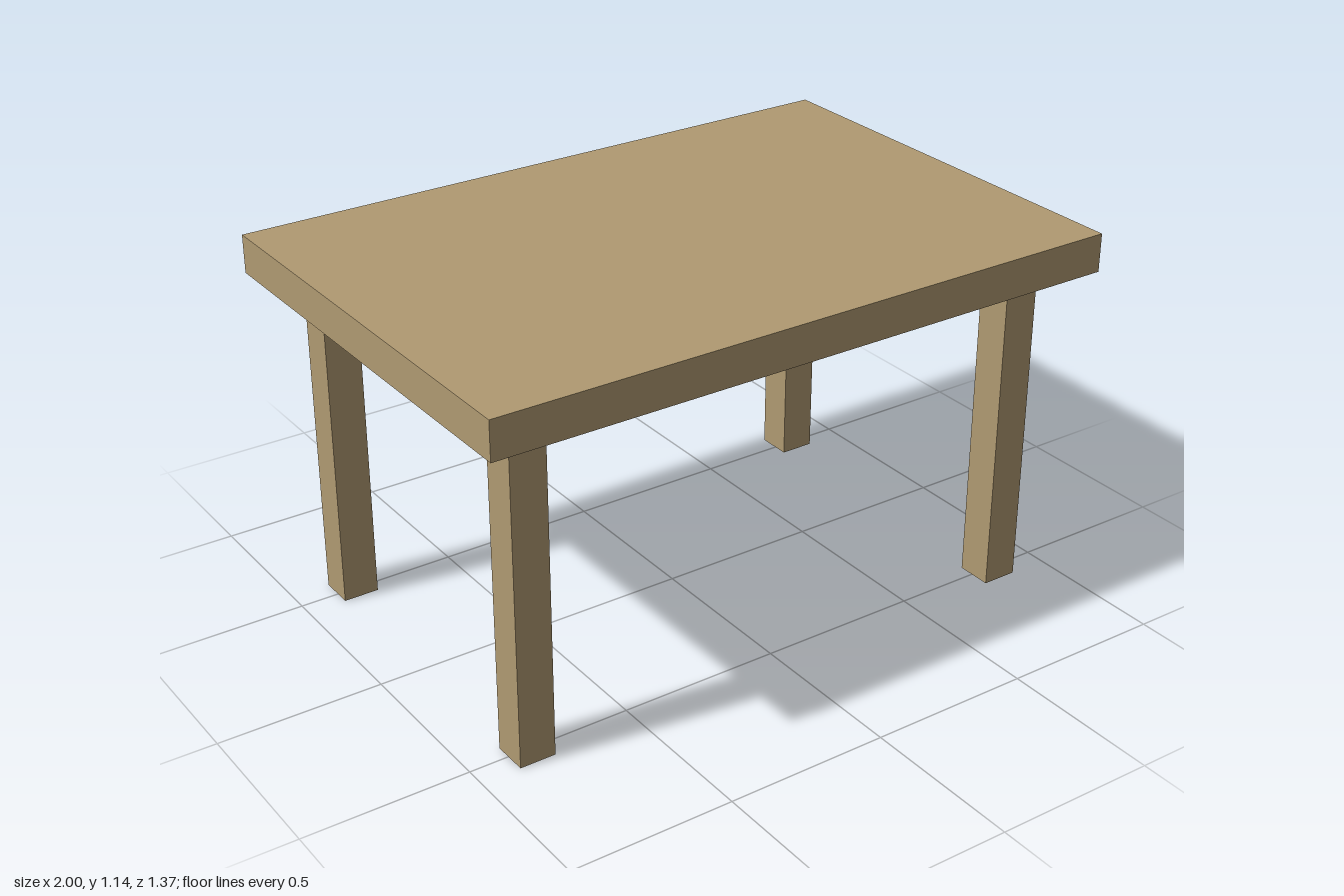
import * as THREE from 'three';

const TOP = { width: 2, depth: 1.37, thickness: 0.117 };
const LEG = { size: 0.11, height: 1.02, x: 0.825, z: 0.508 };

export function createModel() {
  const table = new THREE.Group();
  table.name = 'table';

  const wood = new THREE.MeshStandardMaterial({ color: 0xb09a72 });
  wood.name = 'light wood';

  // Slab resting on the legs
  const top = new THREE.Mesh(new THREE.BoxGeometry(TOP.width, TOP.thickness, TOP.depth), wood);
  top.name = 'tableTop';
  top.position.y = LEG.height + TOP.thickness / 2;
  table.add(top);

  // Four square legs, inset from the corners
  const legGeometry = new THREE.BoxGeometry(LEG.size, LEG.height, LEG.size);
  for (const [side, sx] of [['Left', 1], ['Right', -1]]) {
    for (const [end, sz] of [['front', 1], ['back', -1]]) {
      const leg = new THREE.Mesh(legGeometry, wood);
      leg.name = `${end}${side}Leg`;
      leg.position.set(sx * LEG.x, LEG.height / 2, sz * LEG.z);
      table.add(leg);
    }
  }
  return table;
}
